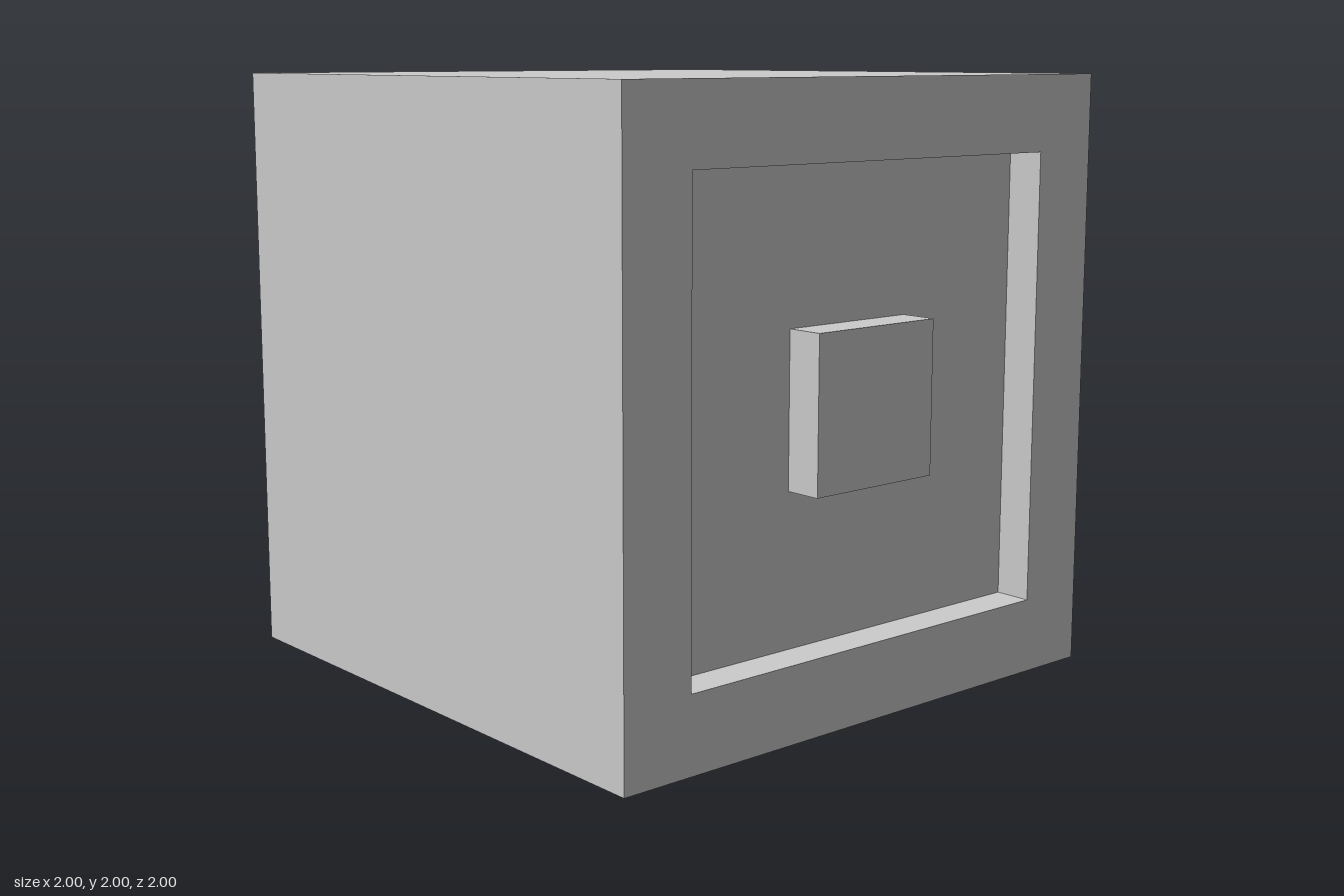
import * as THREE from 'three';
import { mergeGeometries } from 'three/addons/utils/BufferGeometryUtils.js';

const BODY = 1, RECESS = 0.75, KNOB = 0.25; // half widths
const DEPTH = 0.125;

// Four walls of a square sleeve along z, facing outward or inward
function sleeve(half, z0, z1, inward = false) {
  const walls = [];
  for (let i = 0; i < 4; i++) {
    const g = new THREE.PlaneGeometry(half * 2, z1 - z0);
    g.rotateX(inward ? Math.PI / 2 : -Math.PI / 2);
    g.translate(0, half, (z0 + z1) / 2);
    g.rotateZ(i * Math.PI / 2);
    walls.push(g);
  }
  return mergeGeometries(walls);
}

function square(Type, h) {
  return new Type([[-h, -h], [h, -h], [h, h], [-h, h]].map(([x, y]) => new THREE.Vector2(x, y)));
}

// Flat square facing +z, optionally with a square opening
function panel(half, hole, z) {
  const s = square(THREE.Shape, half);
  if (hole) s.holes.push(square(THREE.Path, hole));
  return new THREE.ShapeGeometry(s).translate(0, 0, z);
}

export function createModel() {
  const gray = new THREE.MeshStandardMaterial({ color: 0xcccccc });
  gray.name = 'gray';
  const model = new THREE.Group();
  model.name = 'recessedCube';

  const add = (parent, name, geometry) => {
    const mesh = new THREE.Mesh(geometry, gray);
    mesh.name = name;
    parent.add(mesh);
  };

  // Plain top, bottom and sides
  add(model, 'outerSides', sleeve(BODY, -1, 1));

  // Matching front and back: rim, sunken panel and a block flush with the rim
  ['frontFace', 'backFace'].forEach((name, i) => {
    const face = new THREE.Group();
    face.name = name;
    add(face, 'rim', panel(BODY, RECESS, 1));
    add(face, 'recessWalls', sleeve(RECESS, 1 - DEPTH, 1, true));
    add(face, 'recessFloor', panel(RECESS, KNOB, 1 - DEPTH));
    add(face, 'centreBlockSides', sleeve(KNOB, 1 - DEPTH, 1));
    add(face, 'centreBlockTop', panel(KNOB, 0, 1));
    face.rotation.y = i * Math.PI;
    model.add(face);
  });

  model.children.forEach((part) => { part.position.y = 1; });
  return model;
}
